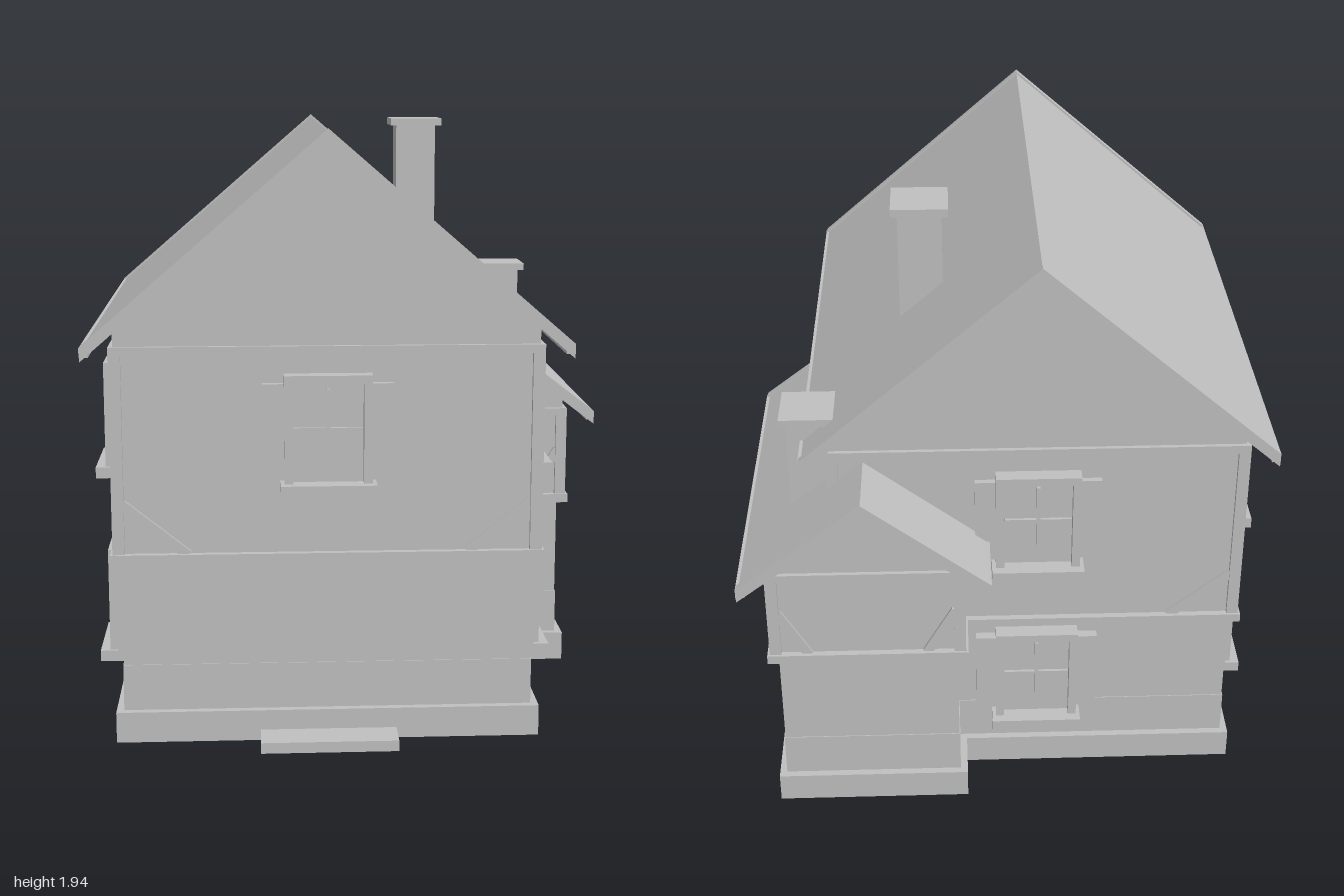
import * as THREE from 'three';

const grey = new THREE.MeshStandardMaterial({ color: 0xc0c0c0 });
grey.name = 'plain grey';

function add(parent, name, geometry) {
  const mesh = new THREE.Mesh(geometry, grey);
  mesh.name = name;
  parent.add(mesh);
  return mesh;
}

// Box given by its limits on each axis
function box(parent, name, x0, x1, y0, y1, z0, z1) {
  const mesh = add(parent, name, new THREE.BoxGeometry(x1 - x0, y1 - y0, z1 - z0));
  mesh.position.set((x0 + x1) / 2, (y0 + y1) / 2, (z0 + z1) / 2);
  return mesh;
}

// Outline in x and y, extruded from z0 to z1
function prism(parent, name, points, z0, z1) {
  const shape = new THREE.Shape(points.map(([x, y]) => new THREE.Vector2(x, y)));
  const mesh = add(parent, name, new THREE.ExtrudeGeometry(shape, { depth: z1 - z0, bevelEnabled: false }));
  mesh.position.z = z0;
  return mesh;
}

// Roof-shaped band: two slopes with a vertical thickness t
function chevron(cx, half, eave, ridge, t) {
  return [[cx - half, eave - t], [cx, ridge - t], [cx + half, eave - t],
    [cx + half, eave], [cx, ridge], [cx - half, eave]];
}

// Timber-framed block: plinth, lower walls, jettied upper floor and gable roof
function createBlock(name, o) {
  const g = new THREE.Group();
  g.name = name;
  const { cx, cz, hx, hz, top, eave, ridge, roofHalf, roofZ } = o;
  const ring = (label, d, y0, y1) =>
    box(g, label, cx - hx - d, cx + hx + d, y0, y1, cz - hz - d, cz + hz + d);

  ring('plinth', 0.027, 0, 0.1);
  ring('baseCourse', 0.003, 0.1, 0.25);
  ring('lowerWall', 0, 0.25, 0.6);
  ring('jettyBeam', 0.034, 0.59, 0.62);

  // Upper walls reach up into the gables
  const w = hx + 0.012, slope = (ridge - eave) / roofHalf, t = 0.036;
  const shoulder = ridge - slope * w - t;
  prism(g, 'upperWall', [[cx - w, 0.61], [cx + w, 0.61], [cx + w, shoulder],
    [cx, ridge - t], [cx - w, shoulder]], cz - hz - 0.012, cz + hz + 0.012);
  ring('wallPlateBeam', 0.026, top, top + 0.027);

  // Corner posts and gable braces
  const px = hx + 0.007, pz = hz + 0.007;
  for (const sz of [-1, 1]) {
    for (const sx of [-1, 1]) {
      const x = cx + sx * px, z = cz + sz * pz;
      box(g, 'cornerPost', x - 0.019, x + 0.019, 0.61, top, z - 0.019, z + 0.019);
      const a = new THREE.Vector2(cx + sx * (hx - 0.005), 0.78);
      const b = new THREE.Vector2(cx + sx * (hx - o.braceRun), 0.615);
      const d = b.clone().sub(a);
      const brace = add(g, 'brace', new THREE.BoxGeometry(d.length(), 0.032, 0.024));
      brace.position.set((a.x + b.x) / 2, (a.y + b.y) / 2, cz + sz * (hz + 0.01));
      brace.rotation.z = Math.atan2(d.y, d.x);
    }
  }

  // Roof slopes, verge boards and eave boards
  prism(g, 'roof', chevron(cx, roofHalf, eave, ridge, t), cz - roofZ + 0.02, cz + roofZ - 0.02);
  for (const s of [-1, 1]) {
    const z = cz + s * (roofZ - 0.0135);
    prism(g, 'vergeBoard', chevron(cx, roofHalf + 0.006, eave + 0.005, ridge + 0.009, 0.046),
      z - 0.0135, z + 0.0135);
    const x = cx + s * (roofHalf - 0.006);
    box(g, 'eaveBoard', x - 0.014, x + 0.014, eave - 0.028, eave + 0.002,
      cz - roofZ + 0.006, cz + roofZ - 0.006);
  }
  return g;
}

// Window facing +z, origin at the wall face, y measured from the sill top
function createWindow() {
  const g = new THREE.Group();
  g.name = 'window';
  box(g, 'sill', -0.15, 0.15, -0.036, 0, -0.02, 0.073);
  box(g, 'frameHead', -0.137, 0.137, 0.312, 0.34, -0.02, 0.042);
  for (const s of [-1, 1]) {
    const x = s * 0.1235;
    box(g, 'frameSide', x - 0.0135, x + 0.0135, 0, 0.312, -0.02, 0.042);
    const sx = s * 0.17;
    box(g, 'shutter', sx - 0.034, sx + 0.034, 0.015, 0.31, -0.02, 0.012);
  }
  box(g, 'pane', -0.111, 0.111, 0, 0.313, -0.02, 0.012);
  box(g, 'mullion', -0.006, 0.006, 0.01, 0.295, 0.01, 0.026);
  box(g, 'glazingBar', -0.108, 0.108, 0.163, 0.173, 0.01, 0.022);
  return g;
}

function createChimney(name, cx, cz, base, top) {
  const g = new THREE.Group();
  g.name = name;
  box(g, 'chimneyShaft', cx - 0.071, cx + 0.071, base, top - 0.02, cz - 0.071, cz + 0.071);
  box(g, 'chimneyCap', cx - 0.092, cx + 0.092, top - 0.025, top, cz - 0.092, cz + 0.092);
  return g;
}

export function createModel() {
  const house = new THREE.Group();
  house.name = 'house';

  const cx = -0.103, cz = 0.07, hx = 0.65, hz = 0.79;
  const main = createBlock('mainHouse', {
    cx, cz, hx, hz, top: 1.25, eave: 1.285, ridge: 1.932,
    roofHalf: 0.748, roofZ: 0.89, braceRun: 0.21,
  });
  house.add(main);
  house.add(createBlock('sideWing', {
    cx: 0.455, cz: -0.373, hx: 0.293, hz: 0.519, top: 0.905, eave: 0.933, ridge: 1.234,
    roofHalf: 0.393, roofZ: 0.625, braceRun: 0.1,
  }));

  // Middle posts on the long sides
  for (const s of [-1, 1]) {
    const x = cx + s * (hx + 0.007);
    box(main, 'middlePost', x - 0.019, x + 0.019, 0.61, 1.25, cz - 0.019, cz + 0.019);
  }

  // Windows: x, z, turn about y, and sill heights
  const out = 0.02, low = 0.23, high = 0.85;
  const left = cx - hx - out, right = cx + hx + out;
  const places = [
    [cx, cz + hz + out, 0, [high]],
    [cx, cz - hz - out, Math.PI, [low, high]],
    [right, cz + 0.443, Math.PI / 2, [low, high]],
    [left, cz + 0.443, -Math.PI / 2, [low, high]],
    [left, cz - 0.443, -Math.PI / 2, [low, high]],
  ];
  for (const [x, z, turn, sills] of places) {
    for (const y of sills) {
      const win = createWindow();
      win.position.set(x, y, z);
      win.rotation.y = turn;
      house.add(win);
    }
  }

  house.add(createChimney('mainChimney', 0.262, -0.281, 1.45, 1.94));
  house.add(createChimney('wingChimney', 0.625, -0.607, 0.95, 1.372));
  box(house, 'frontStep', -0.32, 0.115, 0, 0.035, 0.86, 1);
  return house;
}
